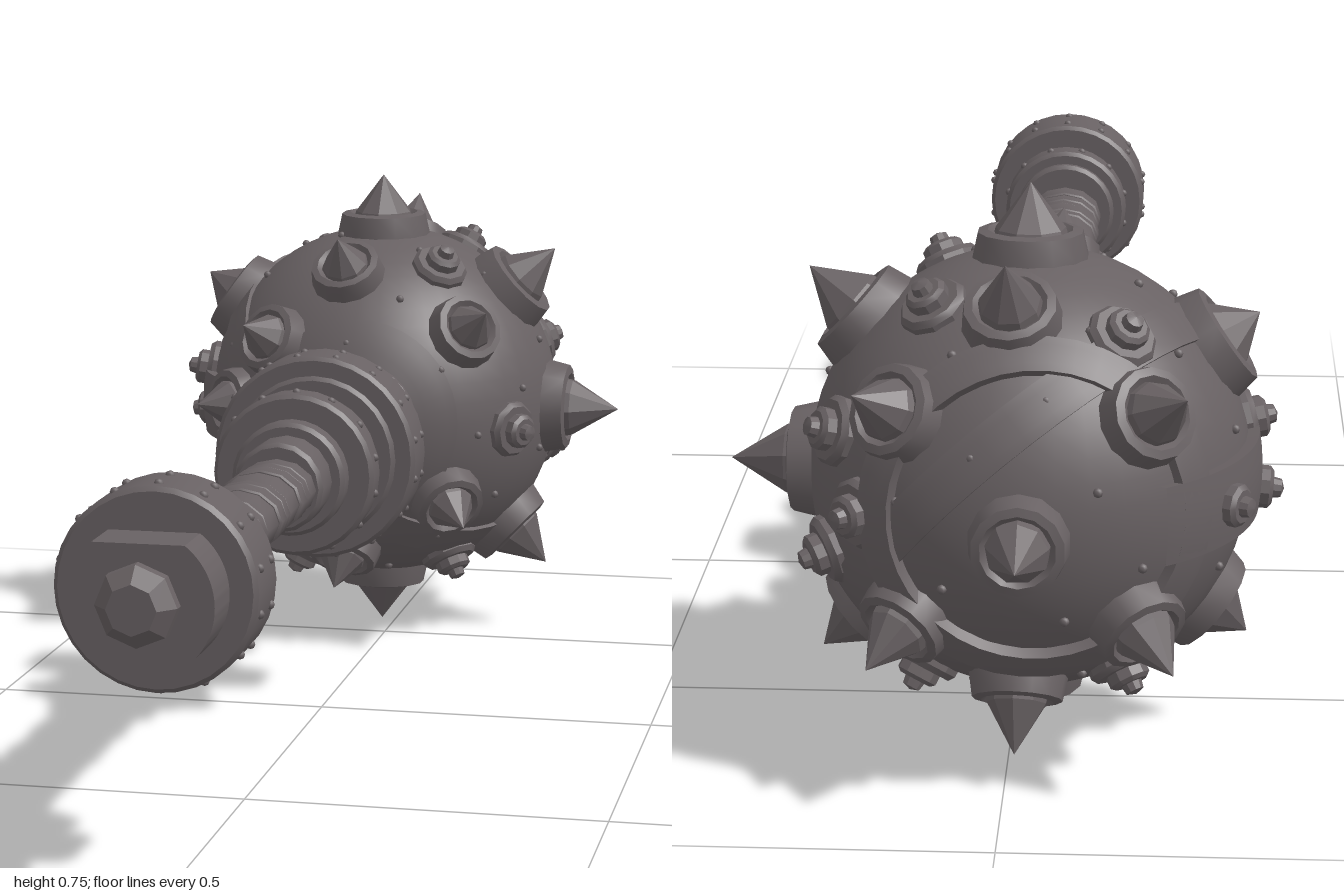
import * as THREE from 'three';
import { toCreasedNormals } from 'three/addons/utils/BufferGeometryUtils.js';

const UP = new THREE.Vector3(0, 1, 0);
const CENTRE = new THREE.Vector3(-0.024, 0.38, -0.615); // head centre
const AXIS = { x: -0.018, y: 0.382 };                   // handle axis

export function createModel() {
  const root = new THREE.Group();
  root.name = 'spikedMace';
  const iron = new THREE.MeshStandardMaterial({ color: 0x686163 });
  iron.name = 'dark iron';

  const add = (parent, name, geo) => {
    const m = new THREE.Mesh(geo, iron);
    m.name = name;
    parent.add(m);
    return m;
  };
  // Solid of revolution from [radius, height] pairs, bottom to top
  const turned = (pts, sides, crease = 0.6, start = 0, length = Math.PI * 2) =>
    toCreasedNormals(new THREE.LatheGeometry(
      pts.map(([r, y]) => new THREE.Vector2(r, y)), sides, start, length), crease);
  const aim = (mesh, dir) => mesh.quaternion.setFromUnitVectors(UP, dir.clone().normalize());

  // ---------- Head ----------
  const head = new THREE.Group();
  head.name = 'head';
  head.position.copy(CENTRE);
  root.add(head);
  add(head, 'headBall', new THREE.SphereGeometry(0.289, 40, 28));

  // Raised band following the ball between two polar angles
  const band = (a0, a1, outer, start, length) => {
    const pts = [];
    for (let i = 0; i <= 4; i++) {
      const a = a1 + (a0 - a1) * i / 4;
      pts.push([Math.sin(a) * outer, Math.cos(a) * outer]);
    }
    pts.unshift([Math.sin(a1) * 0.28, Math.cos(a1) * 0.28]);
    pts.push([Math.sin(a0) * 0.28, Math.cos(a0) * 0.28]);
    return turned(pts, 40, 0.5, start, length);
  };
  aim(add(head, 'backRing', band(0.66, 0.82, 0.304)), new THREE.Vector3(-0.08, 0.05, -1));
  aim(add(head, 'frontRing', band(0.36, 0.6, 0.294)), new THREE.Vector3(0, 0, 1));
  aim(add(head, 'diagonalBand', band(1.47, 1.67, 0.295)), new THREE.Vector3(0.6, 0.65, 0.35));
  const deg = Math.PI / 180;
  add(head, 'sideStrap', band(1.4, 1.74, 0.304, 217 * deg, 122 * deg));

  // Spikes: a thick tapered collar with a faceted cone
  const collarGeo = turned([[0.078, 0.255], [0.076, 0.28], [0.069, 0.312], [0.056, 0.315], [0.045, 0.306], [0, 0.306]], 14);
  const coneGeo = turned([[0.052, 0.295], [0.046, 0.318], [0.0, 0.385]], 9, 0.2);
  const spike = (dir, size, tip) => {
    const g = new THREE.Group();
    g.name = 'spike';
    aim(g, dir);
    const c = add(g, 'spikeCollar', collarGeo);
    c.scale.set(size, 1, size);
    const k = add(g, 'spikePoint', coneGeo);
    k.scale.set(size, (tip - 0.295) / 0.09, size);
    k.position.y = 0.295 * (1 - k.scale.y);
    head.add(g);
  };
  const v = (x, y, z) => new THREE.Vector3(x, y, z);
  // Widest ring, with the left side left free for the strap
  for (const [x, y, len] of [[0, 1, 0.376], [0, -1, 0.376], [1, -0.01, 0.396],
    [0.74, 0.67, 0.388], [-0.82, 0.57, 0.362], [-0.77, -0.63, 0.372], [0.72, -0.69, 0.386]]) {
    spike(v(x, y, 0.04), 1, len);
  }
  // Spikes facing the handle
  for (const [x, y, z] of [[-0.035, 0.29, 0.22], [0.21, 0.18, 0.24], [-0.17, 0.15, 0.27],
    [0.18, -0.16, 0.27], [-0.035, -0.26, 0.22], [-0.25, 0.02, 0.25]]) {
    spike(v(x, y, z), 0.8, 0.366);
  }
  // Spikes at the back
  for (const [x, y, z] of [[0.02, 0.315, -0.2], [0.01, -0.315, -0.2], [-0.21, 0.18, -0.28],
    [0.21, 0.18, -0.28], [-0.2, -0.19, -0.29], [0.2, -0.19, -0.29]]) {
    spike(v(x, y, z), 0.85, 0.384);
  }
  spike(v(0, -0.03, -1), 0.85, 0.386);

  // Stepped bolts between the spikes
  const boltGeo = turned([[0.046, 0.26], [0.046, 0.293], [0.04, 0.301], [0.028, 0.301], [0.028, 0.314],
    [0.022, 0.319], [0.014, 0.319], [0.012, 0.33], [0, 0.334]], 10);
  for (const [x, y, z] of [[-0.32, 0.055, 0.06], [-0.34, -0.03, 0.0], [-0.3, 0.0, -0.17],
    [0.27, -0.02, 0.18], [0.28, -0.09, -0.13], [0.28, 0.1, -0.16], [0.13, 0.27, -0.12],
    [0.13, 0.27, 0.14], [-0.14, 0.25, -0.17], [-0.14, -0.28, 0.04], [0.14, -0.27, 0.1],
    [0.15, -0.27, -0.12], [0.25, 0.0, -0.25], [-0.14, -0.25, -0.15]]) {
    aim(add(head, 'bolt', boltGeo), v(x, y, z));
  }

  // Small rivets scattered evenly over the ball
  const rivetGeo = new THREE.SphereGeometry(0.0065, 6, 4);
  for (let i = 0; i < 70; i++) {
    const y = 1 - (i + 0.5) * 2 / 70, a = i * 2.39996, r = Math.sqrt(1 - y * y);
    add(head, 'headRivet', rivetGeo).position.set(Math.cos(a) * r, y, Math.sin(a) * r).multiplyScalar(0.29);
  }

  // ---------- Handle ----------
  const handle = new THREE.Group();
  handle.name = 'handle';
  handle.position.set(AXIS.x, AXIS.y, 0);
  root.add(handle);
  // Bevelled disc along the handle from z0 to z1, pivoting at its own middle
  const disc = (name, z0, z1, r, sides = 28, bevel = 0.006) => {
    const h = (z1 - z0) / 2;
    const m = add(handle, name, turned([[0, -h], [r - bevel, -h], [r, bevel - h], [r, h - bevel],
      [r - bevel, h], [0, h]], sides).rotateX(Math.PI / 2));
    m.position.z = (z0 + z1) / 2;
    return m;
  };
  const rivets = (z, r, n) => {
    for (let i = 0; i < n; i++) {
      const a = (i + 0.5) * Math.PI * 2 / n;
      add(handle, 'ringRivet', rivetGeo).position.set(Math.cos(a) * r, Math.sin(a) * r, z);
    }
  };

  // Neck and guard rings
  disc('neck', -0.4, 0.14, 0.074);
  disc('headSocket', -0.37, -0.325, 0.1);
  disc('neckCollar', -0.3, -0.235, 0.104);
  rivets(-0.267, 0.103, 12);
  disc('neckBand', -0.225, -0.205, 0.082);
  disc('guardBackStep', -0.185, -0.145, 0.1);
  disc('guardBackRim', -0.15, -0.115, 0.088);
  disc('guardRing', -0.12, -0.03, 0.154, 32);
  rivets(-0.1, 0.152, 16);
  rivets(-0.05, 0.152, 16);
  disc('guardFace', -0.035, -0.022, 0.125);
  disc('guardFrontStep', -0.025, 0.015, 0.098);
  disc('guardFrontBand', 0.022, 0.05, 0.106);
  disc('lowerCollar', 0.062, 0.115, 0.12);
  rivets(0.088, 0.119, 14);
  disc('lowerStep', 0.11, 0.15, 0.084);
  disc('gripFerrule', 0.145, 0.215, 0.066, 16);

  // Flattened grip with windings of varied width
  disc('gripCore', 0.2, 0.74, 0.0515, 12).scale.set(1.07, 0.82, 1);
  const widths = [0.045, 0.028, 0.04, 0.06, 0.03, 0.035, 0.07, 0.028, 0.04, 0.028, 0.03, 0.05];
  let z = 0.215;
  widths.forEach((w, i) => {
    const wrap = disc('gripWinding', z, z + w - 0.002, 0.0535 + (i % 3) * 0.0015, 12, 0.003);
    wrap.scale.set(1.07, 0.82, 1);
    wrap.rotation.x = (i % 2 ? 1 : -1) * 0.03;
    z += w;
  });

  // Pommel
  disc('pommelCollar', 0.715, 0.762, 0.102);
  rivets(0.738, 0.101, 12);
  disc('pommelNeck', 0.7, 0.8, 0.082);
  disc('pommelRing', 0.785, 0.89, 0.131, 32);
  rivets(0.81, 0.13, 14);
  rivets(0.865, 0.13, 14);
  // End cap: a round plate cut flat above and below
  const cap = new THREE.Shape();
  const cut = Math.asin(0.075 / 0.095);
  cap.absarc(0, 0, 0.095, -cut, cut, false);
  cap.absarc(0, 0, 0.095, Math.PI - cut, Math.PI + cut, false);
  cap.closePath();
  const capGeo = new THREE.ExtrudeGeometry(cap, { depth: 0.085, bevelEnabled: false, curveSegments: 14 });
  add(handle, 'pommelCap', toCreasedNormals(capGeo, 0.6)).position.z = 0.88;
  add(handle, 'pommelButton', turned([[0, 0.95], [0.054, 0.95], [0.052, 0.978], [0.032, 1.0], [0, 1.0]], 8, 0.2)
    .rotateX(Math.PI / 2));

  return root;
}
